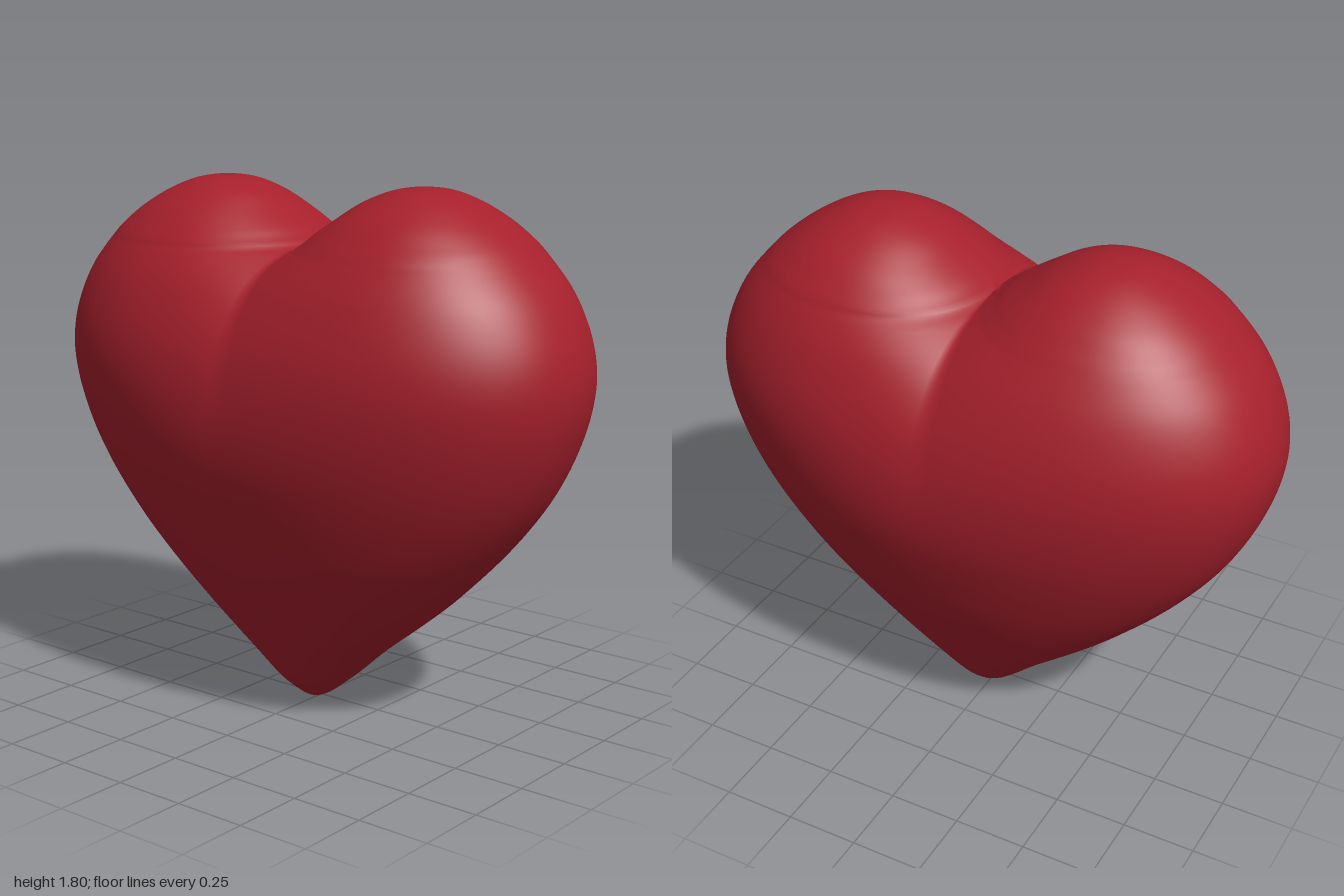
import * as THREE from 'three';
import { mergeGeometries, mergeVertices } from 'three/addons/utils/BufferGeometryUtils.js';

// Lobe cross-sections, tip to crown: [height, outer z, half thickness in x, centre z]
const SECTIONS = [
  [0, 0, 0, 0], [0.015, 0.035, 0.06, 0], [0.05, 0.08, 0.11, 0], [0.1, 0.14, 0.16, 0],
  [0.2, 0.25, 0.225, 0], [0.3, 0.375, 0.28, 0], [0.4, 0.495, 0.33, 0], [0.5, 0.6, 0.38, 0],
  [0.6, 0.697, 0.425, 0], [0.7, 0.782, 0.463, 0], [0.8, 0.855, 0.497, 0], [0.9, 0.912, 0.525, 0.01],
  [1.0, 0.955, 0.54, 0.05], [1.1, 0.985, 0.543, 0.11], [1.2, 0.998, 0.535, 0.18], [1.3, 0.988, 0.515, 0.24],
  [1.4, 0.955, 0.48, 0.3], [1.5, 0.9, 0.432, 0.355], [1.6, 0.815, 0.365, 0.4075], [1.65, 0.765, 0.322, 0.417],
  [1.7, 0.7, 0.272, 0.422], [1.75, 0.62, 0.2, 0.42], [1.785, 0.54, 0.128, 0.42],
  [1.8, 0.48, 0.065, 0.42], [1.804, 0.42, 0, 0.42],
];

const ROWS = 5 * (SECTIONS.length - 1), COLS = 80;
const FULLNESS = 2.2; // exponent of the oval; 2 is a plain ellipse

const spline = (pick) => new THREE.CatmullRomCurve3(SECTIONS.map(pick), false, 'catmullrom', 0.5);
const outline = spline(([y, zOut, w]) => new THREE.Vector3(w, y, zOut));
const centres = spline(([, , , zc]) => new THREE.Vector3(0, 0, zc));
const swell = (v) => Math.sign(v) * Math.abs(v) ** (2 / FULLNESS);

// One lobe: stacked ovals, each cut off at the z = 0 plane where it meets its twin
function lobeGeometry() {
  const positions = [], index = [];
  for (let i = 0; i <= ROWS; i++) {
    const { x: w, y, z: zOut } = outline.getPoint(i / ROWS);
    const zc = centres.getPoint(i / ROWS).z;
    const a = Math.max(zOut - zc, 0);
    const cut = a < 1e-5 ? 1 : THREE.MathUtils.clamp(zc / a, 0, 1);
    const limit = Math.acos(-(cut ** (FULLNESS / 2)));
    for (let j = 0; j <= COLS; j++) {
      const t = limit * (2 * j / COLS - 1);
      positions.push(Math.max(w, 0) * swell(Math.sin(t)), y, zc + a * swell(Math.cos(t)));
      // Snap the cut edge to the plane so the twins weld
      if ((j === 0 || j === COLS) && cut < 1) positions[positions.length - 1] = 0;
      if (i < ROWS && j < COLS) {
        const p = i * (COLS + 1) + j, q = p + COLS + 1;
        index.push(p, p + 1, q + 1, p, q + 1, q);
      }
    }
  }
  const geometry = new THREE.BufferGeometry();
  geometry.setAttribute('position', new THREE.Float32BufferAttribute(positions, 3));
  geometry.setIndex(index);
  return geometry;
}

export function createModel() {
  const red = new THREE.MeshStandardMaterial({ color: 0xa6202c });
  red.name = 'heart red';

  // Front lobe and its half-turn twin, welded into one smooth skin
  const front = lobeGeometry();
  const back = front.clone().rotateY(Math.PI);
  const skin = mergeVertices(mergeGeometries([front, back]), 1e-4);
  skin.computeVertexNormals();

  const heart = new THREE.Mesh(skin, red);
  heart.name = 'heartBody';

  const model = new THREE.Group();
  model.name = 'heart';
  model.add(heart);
  return model;
}
